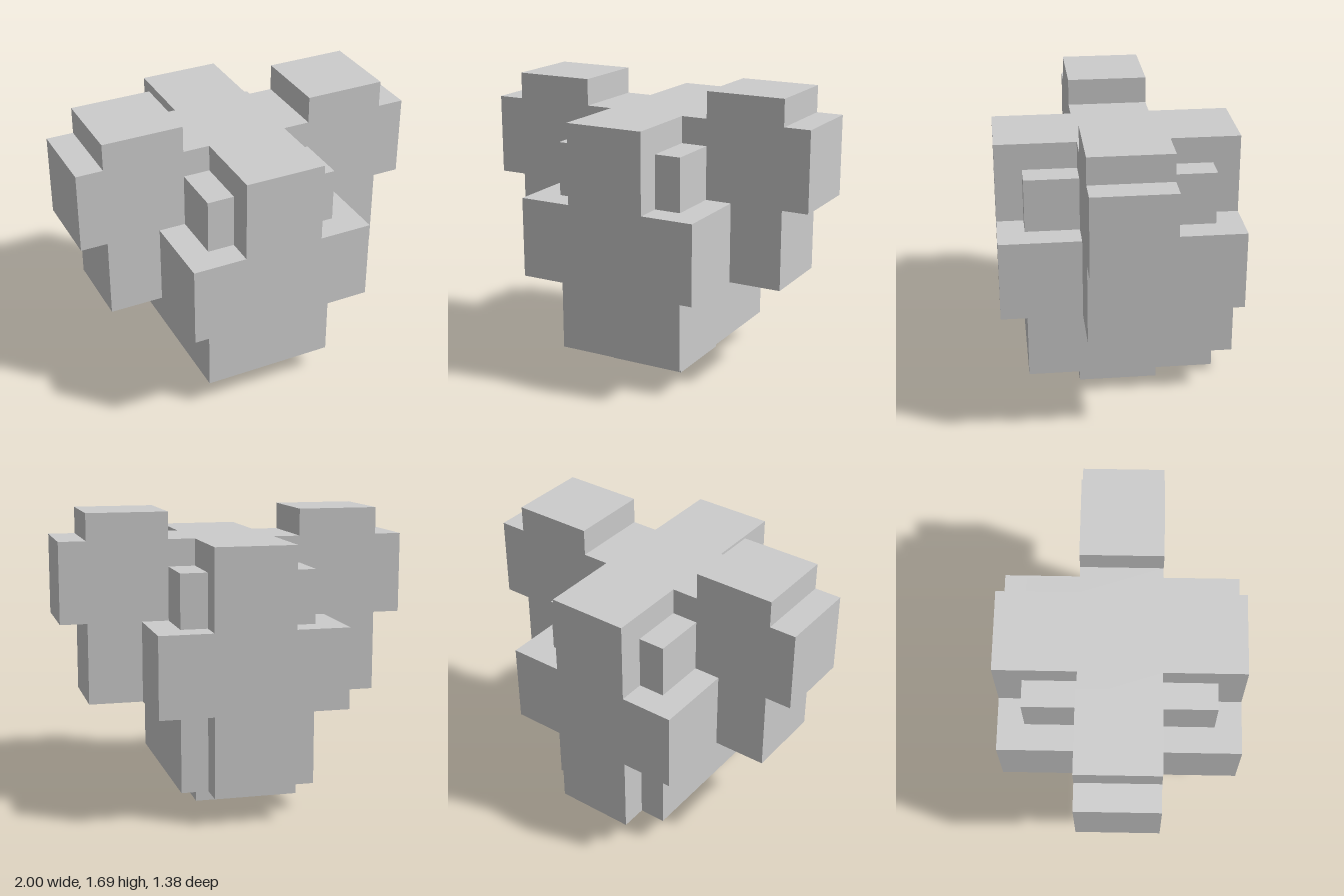
import * as THREE from 'three';

// Everything sits on a cubic grid; 13 cells make the full width
const U = 2 / 13;

export function createModel() {
  const group = new THREE.Group();
  const material = new THREE.MeshStandardMaterial({ color: 0xcccccc, flatShading: true });

  const add = (name, geometry) => {
    const mesh = new THREE.Mesh(geometry, material);
    mesh.name = name;
    group.add(mesh);
    return mesh;
  };

  // Box between two grid corners
  const block = (name, x0, x1, y0, y1, z0, z1) =>
    add(name, new THREE.BoxGeometry((x1 - x0) * U, (y1 - y0) * U, (z1 - z0) * U))
      .position.set((x0 + x1) * U / 2, (y0 + y1) * U / 2, (z0 + z1) * U / 2);

  // Central column, from the bottom up
  block('neck', -1.5, 1.5, 0, 1, -1.5, 1.5);
  block('jaw', -2.5, 2.5, 1, 4, -3.5, 3.5);
  block('nape', -1.5, 1.5, 1, 4, -4.5, -3.5);
  block('cheekBand', -3.5, 3.5, 4, 7, -4.5, 4.5);
  block('crown', -1.5, 1.5, 7, 10, -4.5, 4.5);

  // Stepped ear outline, from the cheek outwards and back over the top
  const earOutline = [
    [3.5, 4], [5.5, 4], [5.5, 7], [6.5, 7], [6.5, 10], [5.5, 10],
    [5.5, 11], [2.5, 11], [2.5, 10], [1.5, 10], [1.5, 7], [3.5, 7],
  ];

  for (const [side, s] of [['left', 1], ['right', -1]]) {
    const shape = new THREE.Shape(earOutline.map(([x, y]) => new THREE.Vector2(s * x * U, y * U)));
    const ear = new THREE.ExtrudeGeometry(shape, { depth: 3 * U, bevelEnabled: false });
    add(side + 'Ear', ear.translate(0, 0, -1.5 * U));

    // Small blocks in the corners between crown and ear
    const [x0, x1] = s > 0 ? [1.5, 2.5] : [-2.5, -1.5];
    block(side + 'FrontCornerBlock', x0, x1, 7, 9, 1.5, 3.5);
    block(side + 'BackCornerBlock', x0, x1, 7, 9, -3.5, -1.5);
  }

  return group;
}
